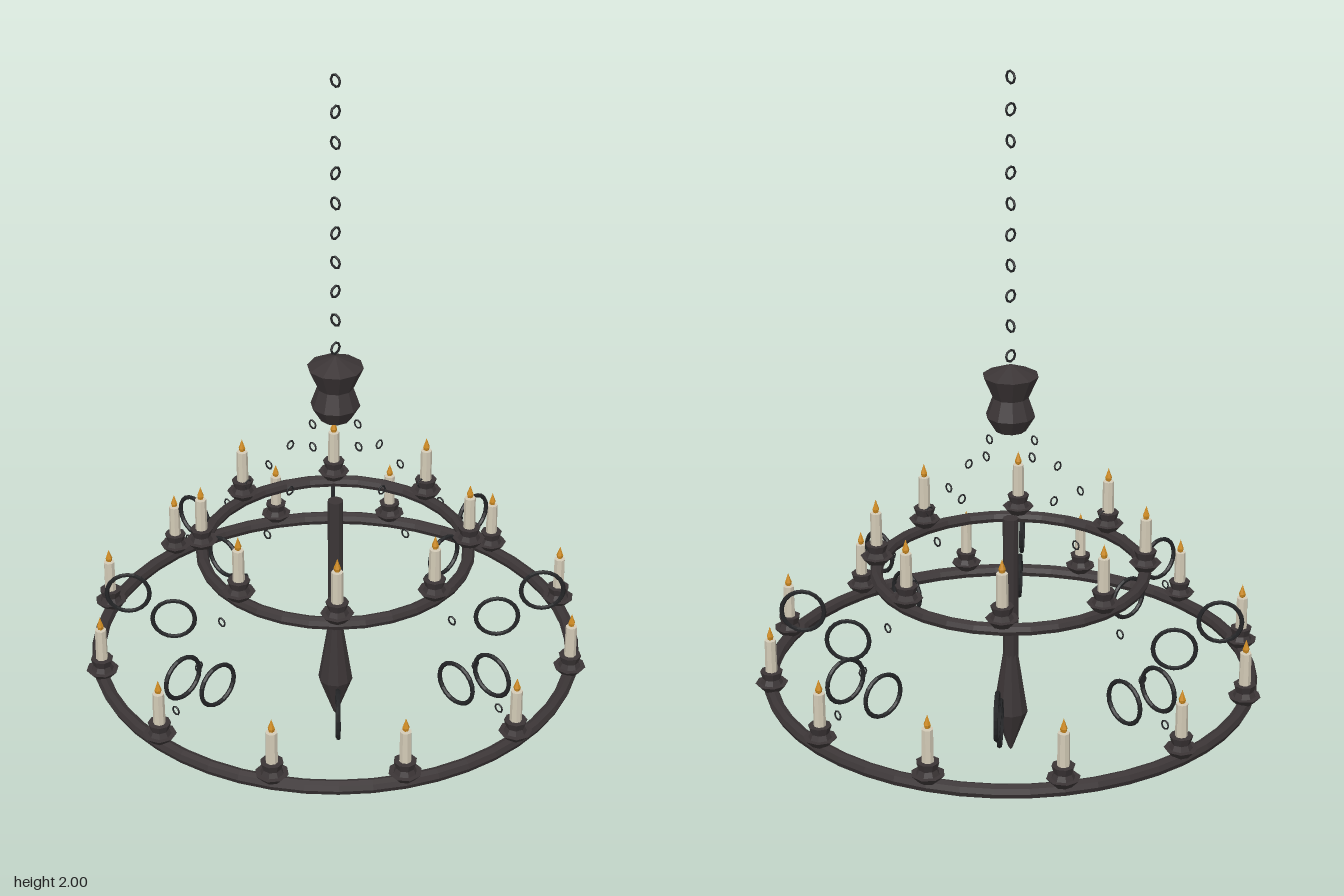
import * as THREE from 'three';

const material = (name, color, flatShading = false) => {
  const m = new THREE.MeshStandardMaterial({ color, flatShading });
  m.name = name;
  return m;
};

export function createModel() {
  const iron = material('iron', 0x3b3536, true);
  const darkIron = material('dark iron', 0x242527, true);
  const wax = material('wax', 0xd2cab6, true);
  const fire = material('flame', 0xd08c22, true);

  const model = new THREE.Group();
  model.name = 'candleChandelier';

  const add = (parent, name, geometry, mat, x = 0, y = 0, z = 0, turn = 0) => {
    const mesh = new THREE.Mesh(geometry, mat);
    mesh.name = name;
    mesh.position.set(x, y, z);
    mesh.rotation.y = turn;
    parent.add(mesh);
    return mesh;
  };
  const lathe = (points, sides) =>
    new THREE.LatheGeometry(points.map(([r, y]) => new THREE.Vector2(r, y)), sides);

  // Two horizontal hoops, each with a crown of candles
  const tiers = [
    { name: 'lower', radius: 0.682, y: 0.255, tube: 0.02, candles: 12, segments: 48 },
    { name: 'upper', radius: 0.377, y: 0.571, tube: 0.018, candles: 8, segments: 32 },
  ];

  // Candle parts, measured from the hoop's centre line
  const dish = lathe([[0, 0.012], [0.026, 0.012], [0.046, 0.034], [0.032, 0.034],
    [0.025, 0.048], [0.032, 0.07], [0, 0.07]], 8);
  const candle = new THREE.CylinderGeometry(0.016, 0.017, 0.1, 8).translate(0, 0.115, 0);
  const flame = lathe([[0, 0.163], [0.008, 0.168], [0.01, 0.177], [0.005, 0.191], [0, 0.206]], 6);

  for (const t of tiers) {
    const hoop = new THREE.TorusGeometry(t.radius, t.tube, 8, t.segments).rotateX(Math.PI / 2);
    add(model, t.name + 'Hoop', hoop, iron, 0, t.y);
    for (let i = 0; i < t.candles; i++) {
      const a = (i / t.candles) * Math.PI * 2;
      const holder = new THREE.Group();
      holder.name = t.name + 'Candle';
      holder.position.set(Math.cos(a) * t.radius, t.y, Math.sin(a) * t.radius);
      holder.rotation.y = -a;
      add(holder, 'dripDish', dish, iron);
      add(holder, 'candle', candle, wax);
      add(holder, 'flame', flame, fire);
      model.add(holder);
    }
  }

  // Pairs of upright scroll rings between the two hoops
  const scroll = new THREE.TorusGeometry(0.061, 0.0065, 6, 20);
  for (let i = 0; i < 8; i++) {
    const spoke = new THREE.Group();
    spoke.name = 'scrollPair';
    spoke.rotation.y = (i * Math.PI) / 4;
    add(spoke, 'outerScroll', scroll, darkIron, 0.592, 0.426);
    add(spoke, 'innerScroll', scroll, darkIron, 0.465, 0.337);
    model.add(spoke);
  }

  // Central rod, pendant finial and suspension hub
  add(model, 'centralRod', new THREE.CylinderGeometry(0.022, 0.022, 0.46, 10), iron, 0, 0.5);
  const finial = lathe([[0, 0], [0.006, 0.008], [0.05, 0.13], [0.022, 0.31], [0, 0.31]], 10);
  add(model, 'finial', finial, iron, 0, 0, 0, Math.PI / 2);
  const hub = lathe([[0, 0.99], [0.043, 0.995], [0.069, 1.038], [0.05, 1.092],
    [0.078, 1.155], [0, 1.187]], 10);
  add(model, 'hub', hub, iron, 0, 0, 0, Math.PI / 2);

  // Main chain, every other link turned a quarter
  const link = new THREE.TorusGeometry(0.0165, 0.0035, 5, 8);
  for (let i = 0; i < 10; i++) {
    add(model, 'mainChainLink', link, darkIron, 0, 1.98 - i * 0.0855, 0, (i % 2) * Math.PI / 2);
  }

  // Four sloping chains of widely spaced links
  const smallLink = new THREE.TorusGeometry(0.0125, 0.0025, 5, 8);
  for (let side = 0; side < 4; side++) {
    const a = (side * Math.PI) / 2;
    for (let k = 1; k <= 7; k++) {
      const r = 0.0887 * k;
      add(model, 'stayChainLink', smallLink, darkIron, Math.cos(a) * r, 1.041 - 0.1013 * k,
        Math.sin(a) * r, k % 2 ? 0 : Math.PI / 2);
    }
  }
  return model;
}
